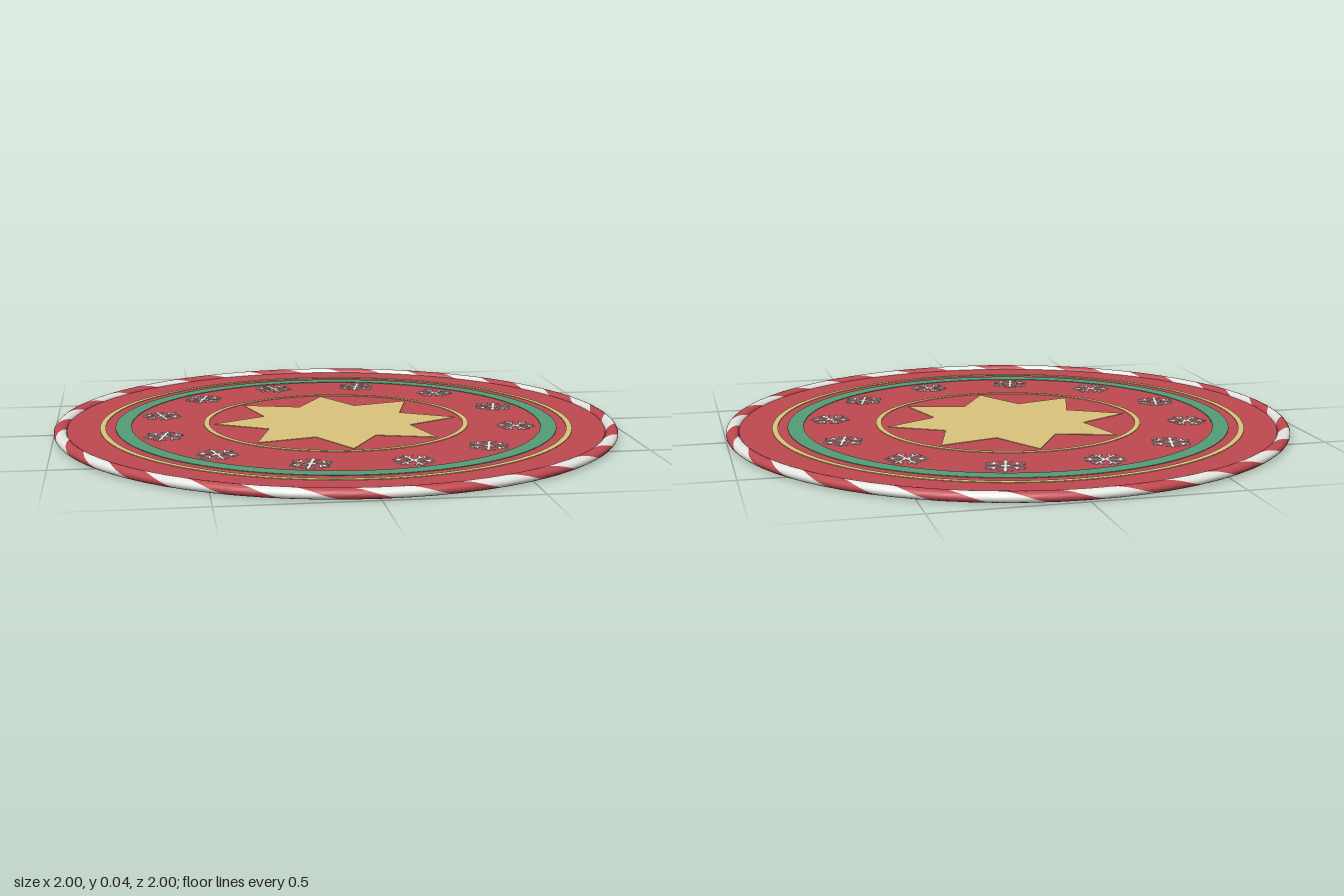
import * as THREE from 'three';

const flat = (name, color) => new THREE.MeshStandardMaterial({ name, color });

// One colour of the twisted rope edging: a helical half of an oval ring.
function ropeStrand(start) {
  const R = 0.9765, a = 0.0235, b = 0.0175, turns = 18, around = 360, steps = 8;
  const pos = [], nor = [], idx = [];
  for (let i = 0; i <= around; i++) {
    const phi = (i / around) * Math.PI * 2;
    for (let j = 0; j <= steps; j++) {
      const t = start + (j / steps) * Math.PI + turns * phi;
      const r = R + a * Math.cos(t);
      pos.push(r * Math.cos(phi), b + b * Math.sin(t), r * Math.sin(phi));
      const n = new THREE.Vector3(Math.cos(t) / a * Math.cos(phi), Math.sin(t) / b, Math.cos(t) / a * Math.sin(phi)).normalize();
      nor.push(n.x, n.y, n.z);
      if (i < around && j < steps) {
        const p = i * (steps + 1) + j, q = p + steps + 1;
        idx.push(p, p + 1, q, p + 1, q + 1, q);
      }
    }
  }
  const g = new THREE.BufferGeometry();
  g.setAttribute('position', new THREE.Float32BufferAttribute(pos, 3));
  g.setAttribute('normal', new THREE.Float32BufferAttribute(nor, 3));
  g.setIndex(idx);
  return g;
}

export function createModel() {
  const red = flat('red cloth', 0xbe4950);
  const gold = flat('gold', 0xdac37b);
  const green = flat('green', 0x559b76);
  const white = flat('white', 0xe6e6e2);
  const model = new THREE.Group();
  const top = 0.022, thick = 0.002;

  const add = (name, geometry, material, parent = model) => {
    const mesh = new THREE.Mesh(geometry, material);
    mesh.name = name;
    parent.add(mesh);
    return mesh;
  };
  // Thin plate lying on the cloth
  const plate = (shape) => new THREE.ExtrudeGeometry(shape, { depth: thick, bevelEnabled: false, curveSegments: 64 })
    .rotateX(-Math.PI / 2);
  const band = (name, inner, outer, material) => {
    const shape = new THREE.Shape().absarc(0, 0, outer, 0, Math.PI * 2);
    shape.holes.push(new THREE.Path().absarc(0, 0, inner, 0, Math.PI * 2, true));
    add(name, plate(shape), material).position.y = top;
  };

  // Round cloth
  add('cloth', new THREE.CylinderGeometry(0.965, 0.965, top - 0.002, 96), red).position.y = top / 2 + 0.001;

  // Twisted rope edging
  add('redRope', ropeStrand(0), red);
  add('whiteRope', ropeStrand(Math.PI), white);

  // Decorative bands
  band('outerGoldBand', 0.82, 0.84, gold);
  band('greenBand', 0.73, 0.786, green);
  band('innerGoldBand', 0.455, 0.474, gold);

  // Eight-pointed star
  const points = [];
  for (let i = 0; i < 16; i++) {
    const r = i % 2 ? 0.272 : 0.437, a = (i * Math.PI) / 8;
    points.push(new THREE.Vector2(r * Math.cos(a), r * Math.sin(a)));
  }
  add('star', plate(new THREE.Shape(points)), gold).position.y = top;

  // Ring of twelve snowflakes, each with six branched arms
  const arm = new THREE.BoxGeometry(0.07, thick, 0.01).translate(0.035, 0, 0);
  const twig = new THREE.BoxGeometry(0.03, thick, 0.008).translate(0.015, 0, 0);
  for (let i = 0; i < 12; i++) {
    const angle = ((15 + i * 30) * Math.PI) / 180;
    const flake = new THREE.Group();
    flake.name = 'snowflake';
    flake.position.set(0.642 * Math.cos(angle), top + thick / 2, -0.642 * Math.sin(angle));
    flake.rotation.y = angle;
    for (let k = 0; k < 6; k++) {
      const limb = add('snowflakeArm', arm, white, flake);
      limb.rotation.y = (k * Math.PI) / 3;
      for (const side of [-1, 1]) {
        const t = add('snowflakeTwig', twig, white, limb);
        t.position.x = 0.038;
        t.rotation.y = (side * Math.PI) / 4;
      }
    }
    model.add(flake);
  }
  return model;
}
